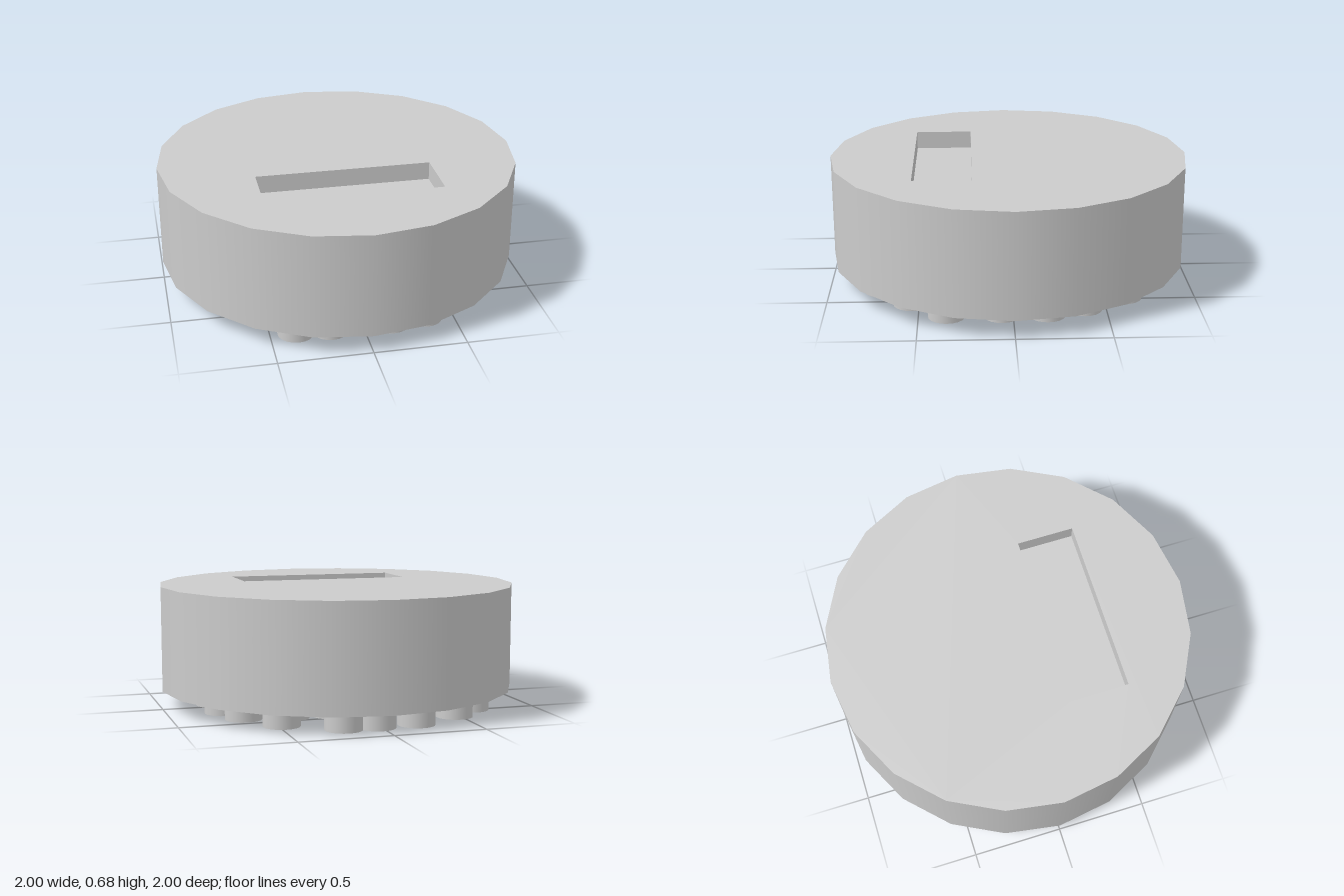
import * as THREE from 'three';

const SIDES = 20, BASE = 0.1, TOP = 0.68;
const POCKET = { x0: -0.485, x1: 0.485, z0: 0.21, z1: 0.53, depth: 0.1 };

// Centres of the pegs, as x, z pairs: outer ring, middle ring, centre
const PEGS = [
  [0.48, -0.61], [0.63, -0.38], [0.20, -0.79], [0.02, -0.79], [-0.20, -0.78],
  [0.70, -0.18], [0.70, 0.06], [0.70, 0.35], [0.53, 0.54], [-0.47, -0.64],
  [-0.63, -0.49], [-0.75, -0.25], [-0.70, -0.08], [-0.76, 0.17], [-0.66, 0.36],
  [-0.52, 0.54], [-0.36, 0.73], [-0.18, 0.74], [-0.04, 0.72], [0.15, 0.74], [0.34, 0.71],
  [0.38, -0.42], [0.16, -0.43], [0.50, -0.23], [0.42, -0.02], [0.44, 0.24],
  [-0.10, -0.37], [-0.26, -0.41], [-0.41, -0.21], [-0.41, 0.00], [-0.32, 0.24],
  [-0.25, 0.44], [-0.03, 0.47], [0.21, 0.51], [0.29, 0.35],
  [0.32, -0.23], [0.15, -0.19], [0.19, -0.03], [-0.11, -0.17], [-0.25, 0.00],
  [-0.01, 0.21], [0.15, 0.25],
];

export function createModel() {
  const model = new THREE.Group();
  model.name = 'peggedDisc';
  const material = new THREE.MeshStandardMaterial({ color: 0xcccccc });

  const add = (name, geometry, x = 0, y = 0, z = 0, parent = model) => {
    const mesh = new THREE.Mesh(geometry, material);
    mesh.name = name;
    mesh.position.set(x, y, z);
    parent.add(mesh);
    return mesh;
  };

  // Round side wall and closed underside
  const height = TOP - BASE;
  add('sideWall', new THREE.CylinderGeometry(1, 1, height, SIDES, 1, true), 0, BASE + height / 2);
  add('underside', new THREE.CircleGeometry(1, SIDES).rotateX(Math.PI / 2), 0, BASE);

  // Top face with the rectangular opening (shape y becomes -z)
  const { x0, x1, z0, z1, depth } = POCKET;
  const rim = Array.from({ length: SIDES }, (_, i) => {
    const a = (i / SIDES) * Math.PI * 2;
    return new THREE.Vector2(Math.cos(a), Math.sin(a));
  });
  const face = new THREE.Shape(rim);
  face.holes.push(new THREE.Path([
    new THREE.Vector2(x0, -z0), new THREE.Vector2(x1, -z0),
    new THREE.Vector2(x1, -z1), new THREE.Vector2(x0, -z1),
  ]));
  add('topFace', new THREE.ShapeGeometry(face).rotateX(-Math.PI / 2), 0, TOP);

  // Pocket: a box without its lid, turned inside out
  const pocket = new THREE.BoxGeometry(x1 - x0, depth, z1 - z0);
  const index = Array.from(pocket.index.array);
  index.splice(12, 6);
  pocket.setIndex(index.reverse());
  pocket.clearGroups();
  pocket.computeVertexNormals();
  add('pocket', pocket, (x0 + x1) / 2, TOP - depth / 2, (z0 + z1) / 2);

  // Short round pegs under the disc
  const pegs = new THREE.Group();
  pegs.name = 'pegs';
  model.add(pegs);
  const peg = new THREE.CylinderGeometry(0.1, 0.1, BASE, 20);
  PEGS.forEach(([x, z], i) => add(`peg${i + 1}`, peg, x, BASE / 2, z, pegs));

  return model;
}
